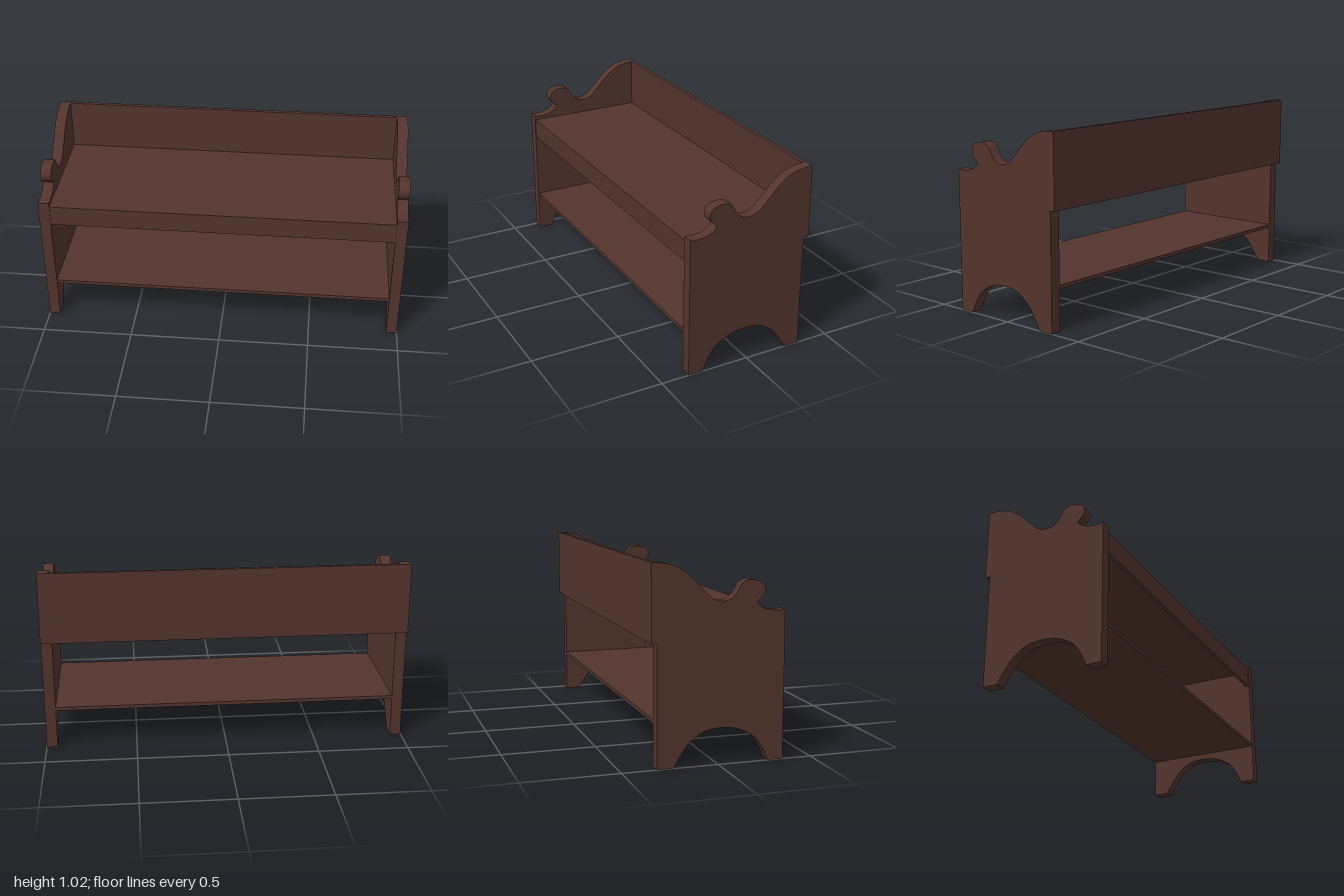
import * as THREE from 'three';
import { toCreasedNormals } from 'three/addons/utils/BufferGeometryUtils.js';

const points = (list) => list.map(([z, y]) => new THREE.Vector2(z, y));

// Side panel outline, drawn as (z, y): arched feet, scrolled armrest, raised back
function sideOutline() {
  const s = new THREE.Shape();
  s.moveTo(0.265, 0);
  s.lineTo(0.347, 0);
  s.lineTo(0.347, 0.765);
  s.splineThru(points([[0.3, 0.761], [0.247, 0.771], [0.213, 0.79], [0.199, 0.81]]));
  s.splineThru(points([[0.226, 0.834], [0.239, 0.866], [0.222, 0.903], [0.166, 0.919], [0.12, 0.906],
    [0.093, 0.865], [0.066, 0.833], [0.018, 0.819], [-0.036, 0.836], [-0.096, 0.892],
    [-0.158, 0.954], [-0.225, 0.997], [-0.292, 1.014], [-0.328, 1.017]]));
  s.lineTo(-0.328, 0.625);
  s.lineTo(-0.32, 0.625);
  s.lineTo(-0.32, 0);
  s.lineTo(-0.237, 0);
  s.splineThru(points([[-0.2, 0.06], [-0.155, 0.12], [-0.09, 0.168], [-0.035, 0.184], [0.015, 0.187],
    [0.065, 0.184], [0.115, 0.17], [0.16, 0.148], [0.2, 0.117], [0.238, 0.06], [0.265, 0]]));
  return s;
}

export function createModel() {
  const group = new THREE.Group();
  const wood = new THREE.MeshStandardMaterial({ color: 0x53342d });
  wood.name = 'dark brown wood';

  const add = (name, geometry) => {
    const mesh = new THREE.Mesh(geometry, wood);
    mesh.name = name;
    group.add(mesh);
    return mesh;
  };
  // Board given by its x half-width and y and z limits
  const board = (name, half, y0, y1, z0, z1) =>
    add(name, new THREE.BoxGeometry(half * 2, y1 - y0, z1 - z0))
      .position.set(0, (y0 + y1) / 2, (z0 + z1) / 2);

  // Two matching side panels
  const thickness = 0.06;
  const panel = toCreasedNormals(new THREE.ExtrudeGeometry(sideOutline(),
    { depth: thickness, bevelEnabled: false, curveSegments: 5 }).rotateY(-Math.PI / 2), 0.6);
  add('leftSidePanel', panel).position.x = 1;
  add('rightSidePanel', panel).position.x = -1 + thickness;

  // Boards spanning between the sides
  const inner = 1 - thickness;
  board('backrest', 1, 0.625, 1.017, -0.348, -0.328);
  board('seat', inner, 0.72, 0.74, -0.328, 0.343);
  board('frontApron', inner, 0.625, 0.72, 0.323, 0.343);
  board('lowerShelf', inner, 0.22, 0.24, -0.32, 0.343);

  return group;
}
